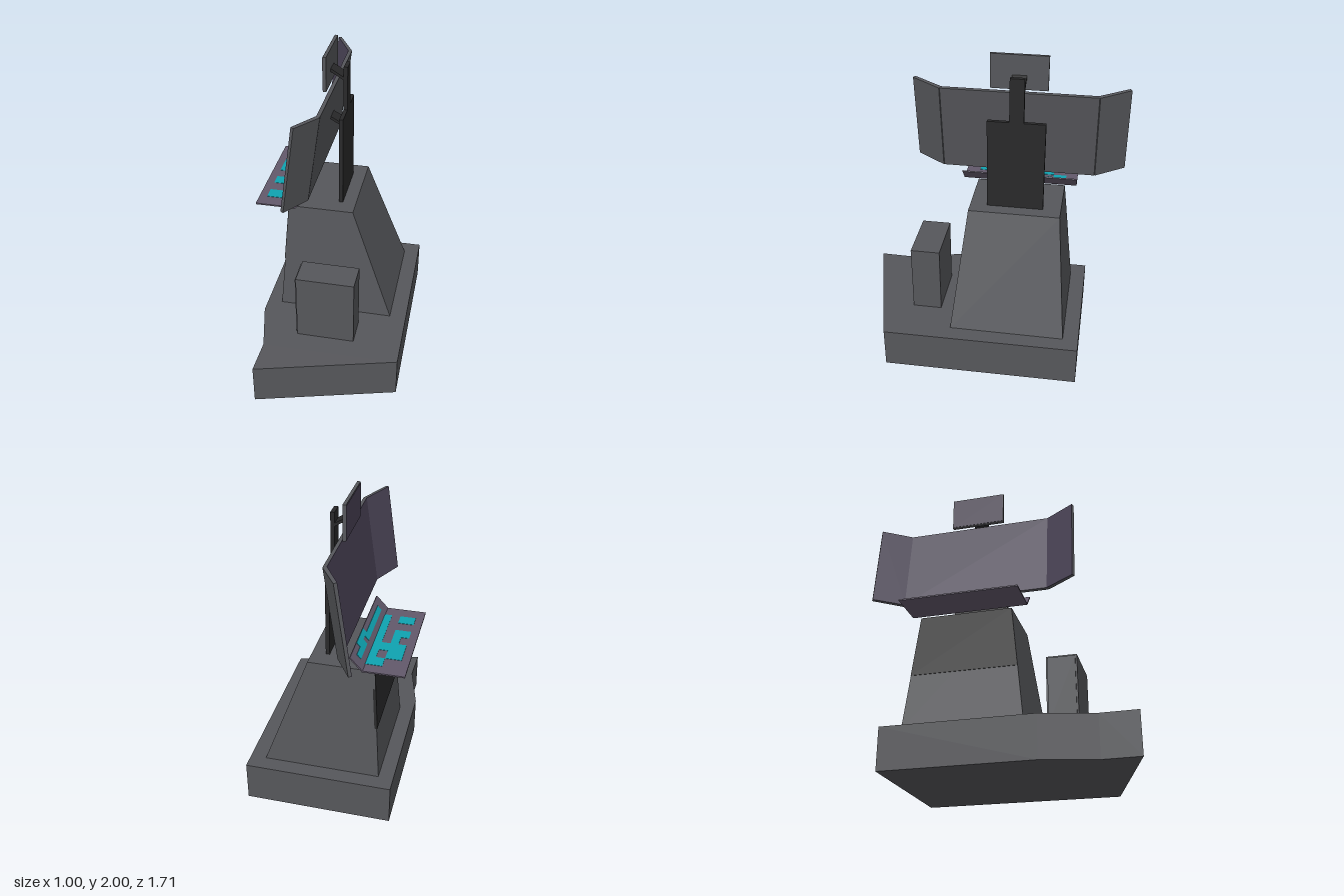
import * as THREE from 'three';

const paint = (color) => new THREE.MeshStandardMaterial({ color, flatShading: true });
const grey = paint(0x56575b), black = paint(0x29292a);
const purple = paint(0x4b4457), tray = paint(0x62596b), teal = paint(0x0fa3b1);

function add(parent, name, geometry, material) {
  const mesh = new THREE.Mesh(geometry, material);
  mesh.name = name;
  parent.add(mesh);
  return mesh;
}

// Box given by its limits on each axis
function block(parent, name, material, [x0, x1], [y0, y1], [z0, z1]) {
  const g = new THREE.BoxGeometry(x1 - x0, y1 - y0, z1 - z0);
  g.translate((x0 + x1) / 2, (y0 + y1) / 2, (z0 + z1) / 2);
  return add(parent, name, g, material);
}

// Tapered block: rectangles [x0, x1, z0, z1] at heights y0 and y1
function taper(parent, name, material, low, y0, high, y1) {
  const g = new THREE.BoxGeometry(1, 1, 1);
  const p = g.attributes.position;
  for (let i = 0; i < p.count; i++) {
    const up = p.getY(i) > 0, r = up ? high : low;
    p.setXYZ(i, r[p.getX(i) > 0 ? 1 : 0], up ? y1 : y0, r[p.getZ(i) > 0 ? 3 : 2]);
  }
  g.computeVertexNormals();
  return add(parent, name, g, material);
}

function extrude(points, depth) {
  const shape = new THREE.Shape(points.map(([a, b]) => new THREE.Vector2(a, b)));
  return new THREE.ExtrudeGeometry(shape, { depth, bevelEnabled: false });
}

// Plan outline in (x, z), raised from y0 to y1
function prism(points, y0, y1) {
  return extrude(points, y1 - y0).rotateX(Math.PI / 2).translate(0, y1, 0);
}

export function createModel() {
  const model = new THREE.Group();
  model.name = 'controlConsole';

  // Floor plinth with one skewed end
  add(model, 'base', prism([[-0.455, -0.65], [0.485, -0.65], [0.495, 0.61],
    [-0.375, 0.85], [-0.37, 0.62], [-0.455, 0.29]], 0, 0.265), grey);

  // Sloping pedestal with a dark upper panel on the operator's side
  taper(model, 'pedestal', grey, [-0.36, 0.385, -0.55, 0.19], 0.265,
    [-0.305, 0.11, -0.475, 0.11], 1.01);
  taper(model, 'pedestalPanel', black, [-0.338, -0.32, -0.515, 0.152], 0.615,
    [-0.309, -0.29, -0.475, 0.11], 1.009);

  // Side cabinet and its door
  block(model, 'cabinet', grey, [-0.18, 0.19], [0.265, 0.715], [0.29, 0.48]);
  block(model, 'cabinetDoor', grey, [-0.188, -0.18], [0.28, 0.705], [0.3, 0.47]);

  // Back plate, post and the two sloping arms
  block(model, 'backPlate', black, [0, 0.025], [1.01, 1.605], [-0.36, 0.002]);
  block(model, 'post', black, [0, 0.025], [1.6, 1.89], [-0.225, -0.135]);
  for (const [y0, x1, y1] of [[1.48, -0.09, 1.535], [1.8, -0.085, 1.855]]) {
    add(model, 'arm', extrude([[0.005, y0], [0.005, y0 + 0.02], [x1, y1 + 0.02], [x1, y1]], 0.09)
      .translate(0, 0, -0.225), black);
  }

  // Small upright display
  block(model, 'topDisplay', grey, [-0.1, -0.08], [1.78, 2], [-0.357, 0]);
  block(model, 'topDisplayFace', purple, [-0.103, -0.1], [1.785, 1.995], [-0.352, -0.005]);

  // Large three-part display, leaning back
  const display = new THREE.Group();
  display.name = 'mainDisplay';
  display.position.set(-0.1, 1.487, -0.18);
  display.rotation.z = -THREE.MathUtils.degToRad(8);
  model.add(display);
  const h = 0.287;
  block(display, 'centreScreen', grey, [-0.009, 0.011], [-h, h], [-0.485, 0.485]);
  block(display, 'centreScreenFace', purple, [-0.012, -0.009], [-h, h], [-0.482, 0.482]);
  for (const s of [-1, 1]) {
    const wing = (pts) => prism(pts.map(([x, z]) => [x, z * s]), -h, h);
    add(display, 'wingScreen', wing([[-0.007, 0.478], [0.011, 0.49],
      [-0.098, 0.675], [-0.113, 0.666]]), grey);
    add(display, 'wingScreenFace', wing([[-0.01, 0.476], [-0.007, 0.478],
      [-0.113, 0.666], [-0.116, 0.664]]), purple);
  }

  // Key tray: flat shelf with a raised rear lip
  const bend = -0.245, slope = Math.atan2(0.085, 0.075);
  add(model, 'keyTray', extrude([[-0.5, 1.05], [bend, 1.05], [-0.168, 1.136],
    [-0.174, 1.141], [bend - 0.004, 1.059], [-0.5, 1.059]], 0.75).translate(0, 0, -0.555), tray);

  // Lit keys as [x0, x1, z0, z1]; those behind the bend lie on the lip
  const keys = [
    [-0.45, -0.35, -0.395, -0.225], [-0.4, -0.35, -0.225, -0.145],
    [-0.45, -0.35, -0.145, -0.065], [-0.45, -0.35, 0.02, 0.105],
    [-0.35, -0.245, -0.48, -0.395], [-0.295, -0.245, -0.395, -0.31],
    [-0.35, -0.295, -0.31, -0.225], [-0.295, -0.245, -0.31, 0.105],
    [-0.222, -0.197, -0.48, -0.31], [-0.222, -0.197, -0.27, 0.105],
    [-0.197, -0.175, -0.395, -0.225],
  ];
  for (const [x0, x1, z0, z1] of keys) {
    const x = (x0 + x1) / 2, onLip = x > bend;
    const width = (x1 - x0) / (onLip ? Math.cos(slope) : 1);
    const key = add(model, 'key', new THREE.BoxGeometry(width, 0.004, z1 - z0), teal);
    const y = onLip ? 1.059 + (x - bend + 0.004) * Math.tan(slope) : 1.059;
    key.position.set(x, y, (z0 + z1) / 2);
    key.rotation.z = onLip ? slope : 0;
  }
  return model;
}
